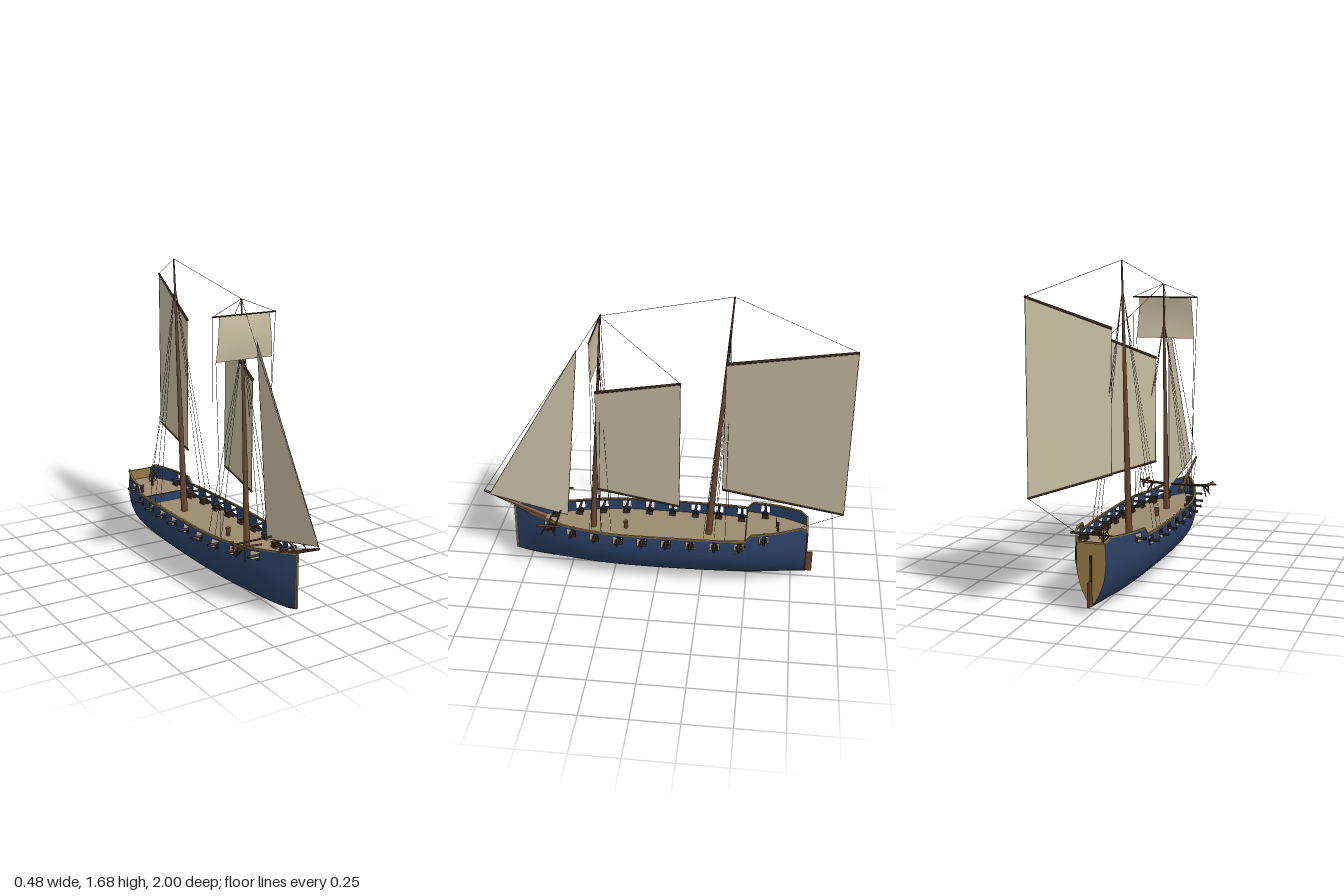
import * as THREE from 'three';

const V = (x, y, z) => new THREE.Vector3(x, y, z);
const mat = (name, color) => {
  const m = new THREE.MeshStandardMaterial({ color, side: THREE.DoubleSide });
  m.name = name;
  return m;
};
const M = {
  hull: mat('navy hull paint', 0x2b4066),
  trim: mat('ochre trim', 0x94783f),
  deck: mat('deck planks', 0x9a8a6e),
  sail: mat('canvas', 0xc9bea2),
  wood: mat('mast wood', 0x6b4529),
  spar: mat('dark spar wood', 0x3c2a1e),
  iron: mat('iron', 0x26262a),
  rope: mat('rope', 0x3a352e),
};

// Piecewise linear lookup in a list of [position, value]
function lookup(list, p) {
  if (p <= list[0][0]) return list[0][1];
  for (let i = 1; i < list.length; i++) {
    const [p0, v0] = list[i - 1], [p1, v1] = list[i];
    if (p <= p1) return v0 + (v1 - v0) * (p - p0) / (p1 - p0);
  }
  return list[list.length - 1][1];
}
const smooth = (list) => new THREE.SplineCurve(list.map(([a, b]) => new THREE.Vector2(a, b)))
  .getPoints(120).map((p) => [p.x, p.y]);

// Hull lines
const STERN = -0.825, BOW = 0.825;
const beam = smooth([[STERN, 0.075], [-0.72, 0.125], [-0.6, 0.162], [-0.4, 0.188], [-0.15, 0.196], [0.15, 0.196],
  [0.3, 0.185], [0.45, 0.155], [0.6, 0.11], [0.72, 0.06], [BOW, 0.002]]);
const keelLine = smooth([[STERN, 0.038], [-0.5, 0.012], [0, 0.002], [0.4, 0.012], [0.7, 0.04], [BOW, 0.068]]);
const railLine = [[STERN, 0.352], [-0.79, 0.376], [-0.52, 0.362], [-0.49, 0.324], [0.5, 0.322], [0.6, 0.332], [BOW, 0.355]];
const section = smooth([[0, 0], [0.08, 0.28], [0.26, 0.64], [0.4, 0.83], [0.55, 0.95], [0.72, 1], [1, 0.96]]);
const railY = (z) => lookup(railLine, z);
const keelY = (z) => lookup(keelLine, z);
const hullX = (z, y) => lookup(beam, z) * lookup(section, (y - keelY(z)) / (0.34 - keelY(z)));

const gunZ = Array.from({ length: 10 }, (_, i) => 0.608 - i * 0.1332);
const inPort = (z) => gunZ.some((g) => Math.abs(z - g) < 0.024);
const stations = [...new Set([
  ...Array.from({ length: 34 }, (_, i) => STERN + (BOW - STERN) * i / 33).filter((z) => !inPort(z)),
  ...railLine.map((r) => r[0]), ...gunZ.flatMap((g) => [g - 0.025, g + 0.025]),
])].sort((a, b) => a - b);

// Grid surface through rows of points; skip(i, j) leaves a hole
function loft(rows, skip = () => false, flat = false) {
  const n = rows[0].length, index = [];
  for (let i = 0; i < rows.length - 1; i++) for (let j = 0; j < n - 1; j++) {
    if (skip(i, j)) continue;
    const a = i * n + j, b = a + n;
    index.push(a, b, a + 1, b, b + 1, a + 1);
  }
  let g = new THREE.BufferGeometry().setFromPoints(rows.flat());
  g.setIndex(index);
  if (flat) g = g.toNonIndexed();
  g.computeVertexNormals();
  return g;
}

export function createModel() {
  const ship = new THREE.Group();
  ship.name = 'sailingShip';
  const add = (name, geo, m, parent = ship) => {
    const mesh = new THREE.Mesh(geo, m);
    mesh.name = name;
    parent.add(mesh);
    return mesh;
  };
  const bar = (name, a, b, r0, r1, m, parent = ship, sides = 8) => {
    const mesh = add(name, new THREE.CylinderGeometry(r1, r0, a.distanceTo(b), sides), m, parent);
    mesh.position.copy(a).lerp(b, 0.5);
    mesh.quaternion.setFromUnitVectors(V(0, 1, 0), b.clone().sub(a).normalize());
    return mesh;
  };
  const box = (name, w, h, d, x, y, z, m, parent = ship) => {
    const mesh = add(name, new THREE.BoxGeometry(w, h, d), m, parent);
    mesh.position.set(x, y, z);
    return mesh;
  };
  const rope = (a, b, name = 'rope') => bar(name, a, b, 0.0012, 0.0012, M.rope, ship, 4);

  // Hull sides with open gun ports, and the rail on top
  const LOW = 12;
  const heights = (z) => {
    const k = keelY(z), sill = railY(z) - 0.056;
    const ys = Array.from({ length: LOW + 1 }, (_, j) => k + (sill - k) * Math.pow(j / LOW, 1.3));
    return [...ys, railY(z) - 0.014, railY(z)];
  };
  for (const s of [-1, 1]) {
    const skin = stations.map((z) => heights(z).map((y) => V(s * hullX(z, y), y, z)));
    add('hullSide', loft(skin, (i, j) => j === LOW && inPort((stations[i] + stations[i + 1]) / 2)), M.hull);
    const rail = stations.map((z) => {
      const y = railY(z), x = hullX(z, y), o = x + 0.003, n = Math.max(0, x - 0.008);
      return [[o, y - 0.003], [o, y + 0.004], [n, y + 0.004], [n, y - 0.003], [o, y - 0.003]].map(([a, b]) => V(s * a, b, z));
    });
    add('rail', loft(rail, undefined, true), M.trim);
  }

  // Transom, stem, keel and rudder
  add('transom', loft(heights(STERN).map((y) => [V(-hullX(STERN, y), y, STERN), V(hullX(STERN, y), y, STERN)])), M.trim);
  box('transomCap', 0.15, 0.008, 0.012, 0, railY(STERN), STERN, M.trim);
  box('stem', 0.009, 0.285, 0.01, 0, 0.212, BOW, M.trim);
  const keelPath = new THREE.CatmullRomCurve3(stations.map((z) => V(0, keelY(z) + 0.002, z)));
  add('keel', new THREE.TubeGeometry(keelPath, 40, 0.004, 6), M.spar);
  box('sternPost', 0.01, 0.25, 0.01, 0, 0.165, -0.83, M.spar);
  box('rudder', 0.012, 0.122, 0.032, 0, 0.104, -0.85, M.wood);

  // Main deck, quarterdeck and the step between them
  const deck = (name, y, z0, z1) => {
    const zs = [z0, ...stations.filter((z) => z > z0 && z < z1), z1];
    add(name, loft(zs.map((z) => [V(-hullX(z, y), y, z), V(hullX(z, y), y, z)])), M.deck);
  };
  deck('mainDeck', 0.25, -0.49, BOW);
  deck('quarterdeck', 0.295, STERN, -0.49);
  add('deckStep', loft([0.25, 0.297].map((y) => [V(-hullX(-0.49, y), y, -0.488), V(hullX(-0.49, y), y, -0.488)])), M.hull);
  box('stepEdge', 0.37, 0.005, 0.008, 0, 0.297, -0.489, M.spar);

  // Guns on their carriages
  for (const z of gunZ) for (const s of [-1, 1]) {
    const gun = new THREE.Group();
    gun.name = 'gun';
    const y = railY(z) - 0.037, side = hullX(z, y);
    const floor = z < -0.49 ? 0.295 : 0.25;
    gun.position.set(s * (side - 0.03), floor, z);
    gun.scale.x = s;
    ship.add(gun);
    const h = y - floor;
    bar('barrel', V(-0.03, h, 0), V(0.07, h, 0), 0.009, 0.006, M.iron, gun);
    bar('muzzle', V(0.064, h, 0), V(0.071, h, 0), 0.008, 0.008, M.iron, gun);
    box('carriage', 0.045, 0.018, 0.024, 0, 0.016, 0, M.spar, gun);
    for (const wx of [-0.014, 0.014]) bar('wheels', V(wx, 0.009, -0.019), V(wx, 0.009, 0.019), 0.009, 0.009, M.spar, gun);
  }

  // Steering wheel and capstan
  add('wheelRim', new THREE.TorusGeometry(0.026, 0.003, 6, 20), M.wood).position.set(0, 0.348, -0.655);
  for (let i = 0; i < 4; i++) {
    const a = i * Math.PI / 4, dx = 0.036 * Math.cos(a), dy = 0.036 * Math.sin(a);
    bar('wheelSpoke', V(-dx, 0.348 - dy, -0.655), V(dx, 0.348 + dy, -0.655), 0.002, 0.002, M.wood);
  }
  box('wheelStand', 0.012, 0.055, 0.012, 0, 0.322, -0.665, M.spar);
  bar('capstan', V(0, 0.25, 0.19), V(0, 0.295, 0.19), 0.011, 0.013, M.wood, ship, 12);

  // Cathead beam and anchors
  bar('catheadBeam', V(-0.2, 0.355, 0.555), V(0.2, 0.355, 0.555), 0.005, 0.005, M.spar);
  for (const s of [-1, 1]) {
    bar('anchorShank', V(s * 0.06, 0.345, 0.6), V(s * 0.235, 0.36, 0.6), 0.005, 0.005, M.wood);
    bar('anchorStock', V(s * 0.2, 0.362, 0.525), V(s * 0.2, 0.362, 0.655), 0.006, 0.006, M.wood);
    bar('catheadPost', V(s * 0.2, 0.325, 0.555), V(s * 0.2, 0.375, 0.555), 0.004, 0.004, M.spar);
    for (const d of [-1, 1]) bar('anchorArm', V(s * 0.155, 0.355, 0.6), V(s * 0.185, 0.29, 0.6 + d * 0.04), 0.005, 0.003, M.iron);
  }

  // Masts and bowsprit
  const foreTop = V(0, 1.54, 0.306), mainTop = V(0, 1.675, -0.38), tip = V(0, 0.44, 0.997);
  bar('foreMast', V(0, 0.25, 0.375), foreTop, 0.017, 0.004, M.wood, ship, 12);
  bar('mainMast', V(0, 0.25, -0.28), mainTop, 0.019, 0.004, M.wood, ship, 12);
  bar('bowsprit', V(0, 0.295, 0.645), tip, 0.014, 0.006, M.wood, ship, 10);

  // Gaff sails with their spars: throat, peak, clew, tack
  const gaffSails = [
    ['foreSail', V(0.053, 1.125, 0.335), V(0.177, 1.265, -0.129), V(0.177, 0.53, -0.129), V(0.053, 0.53, 0.335)],
    ['mainSail', V(0.068, 1.335, -0.352), V(0.243, 1.515, -0.997), V(0.243, 0.585, -0.997), V(0.068, 0.585, -0.352)],
  ];
  for (const [name, throat, peak, clew, tack] of gaffSails) {
    add(name, loft([[throat, peak], [tack, clew]]), M.sail);
    bar('gaff', throat, peak, 0.008, 0.006, M.spar);
    bar('boom', tack, clew, 0.006, 0.005, M.spar);
    rope(peak, clew, 'leechRope');
    rope(throat, tack, 'luffRope');
  }

  // Jib
  const head = V(0.01, 1.345, 0.434), jibTack = V(0.026, 0.434, 0.96), jibClew = V(0.03, 0.33, 0.515);
  add('jib', loft([[head, head], [jibTack, jibClew]]), M.sail);
  rope(head, jibTack); rope(jibTack, jibClew); rope(jibClew, head);

  // Square topsail, slightly bellied
  const topsail = Array.from({ length: 7 }, (_, i) => Array.from({ length: 7 }, (_, j) => {
    const v = i / 6, u = j / 3 - 1;
    return V(u * (0.15 + 0.018 * v), 1.465 - 0.228 * v, 0.337 + 0.012 * Math.sin(Math.PI * v) * (1 - u * u * 0.5));
  }));
  add('topsail', loft(topsail), M.sail);
  bar('topsailYard', V(-0.187, 1.466, 0.335), V(0.187, 1.466, 0.335), 0.004, 0.004, M.spar);

  // Stays and sail lines
  rope(foreTop, tip, 'foreStay');
  rope(foreTop, mainTop, 'topStay');
  rope(mainTop, gaffSails[1][2], 'mainPeakLine');
  rope(foreTop, gaffSails[0][2], 'forePeakLine');
  rope(gaffSails[1][3], V(0.07, 0.375, -0.79), 'mainSheet');

  // Shrouds, braces and topsail sheets
  for (const s of [-1, 1]) {
    for (const dz of [-0.05, 0.01, 0.07]) {
      rope(V(s * 0.006, 1.3, 0.318), V(s * 0.155, 0.32, 0.3 + dz), 'foreShroud');
      rope(V(s * 0.006, 1.5, -0.368), V(s * 0.165, 0.32, -0.33 + dz), 'mainShroud');
    }
    rope(V(s * 0.187, 1.466, 0.335), foreTop, 'yardLift');
    rope(V(s * 0.187, 1.466, 0.335), V(s * 0.165, 0.32, 0.3), 'brace');
    rope(V(s * 0.168, 1.237, 0.337), V(s * 0.15, 0.32, 0.36), 'topsailSheet');
    rope(tip, V(s * 0.06, 0.34, 0.72), 'bowspritShroud');
  }
  return ship;
}
